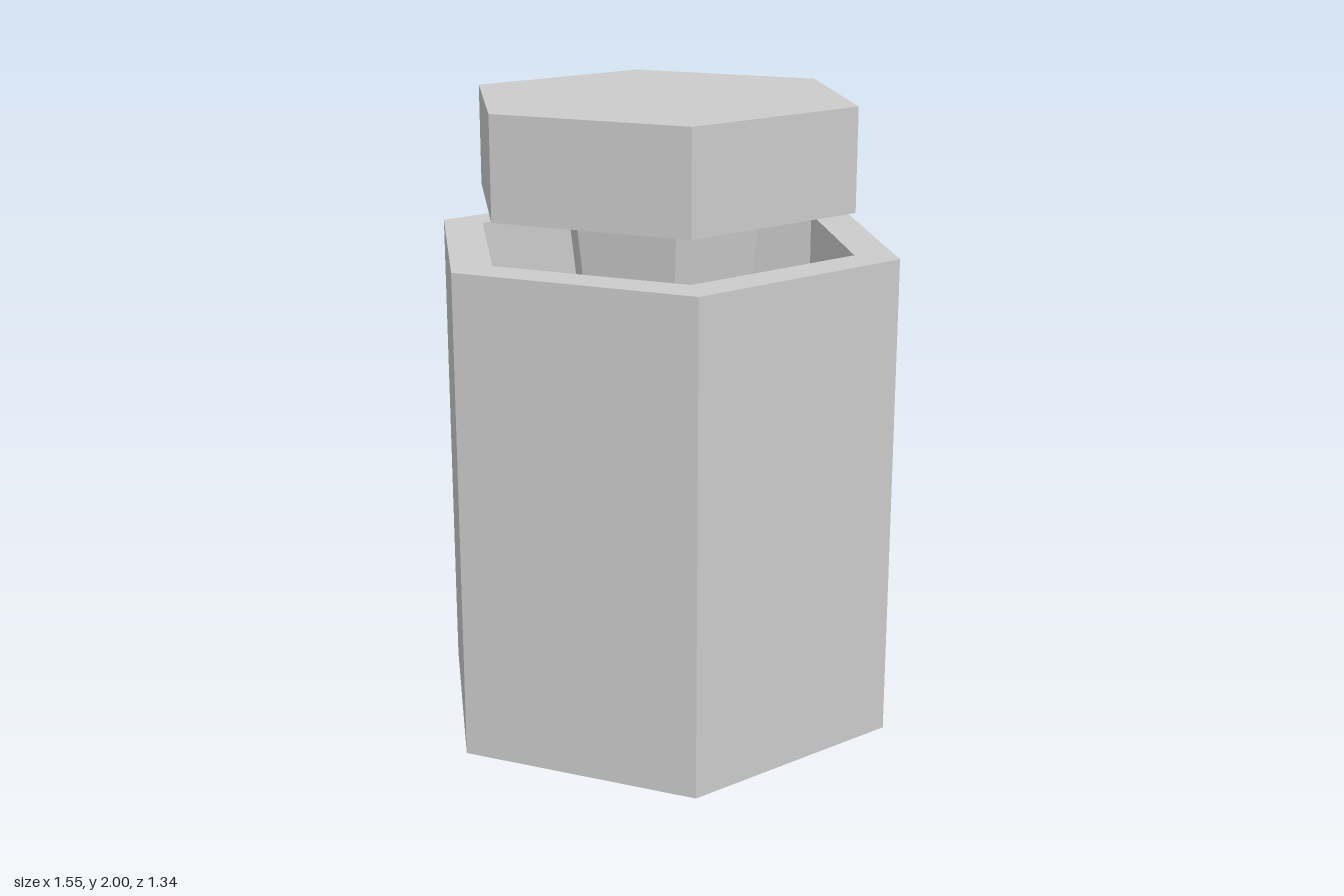
import * as THREE from 'three';

const material = new THREE.MeshStandardMaterial({ color: 0xcccccc, flatShading: true });

// Six corners with one on the +x axis
function hexPoints(radius) {
  return Array.from({ length: 6 }, (_, i) => {
    const a = (i * Math.PI) / 3;
    return new THREE.Vector2(radius * Math.cos(a), radius * Math.sin(a));
  });
}

// Solid hexagonal prism or frustum between two heights
function hexSolid(name, topRadius, bottomRadius, y0, y1) {
  const geometry = new THREE.CylinderGeometry(topRadius, bottomRadius, y1 - y0, 6);
  geometry.rotateY(Math.PI / 6);
  geometry.translate(0, (y0 + y1) / 2, 0);
  const mesh = new THREE.Mesh(geometry, material);
  mesh.name = name;
  return mesh;
}

export function createModel() {
  const group = new THREE.Group();
  group.name = 'hexContainerWithStopper';

  // Hexagonal sleeve, open at both ends
  const section = new THREE.Shape(hexPoints(0.775));
  section.holes.push(new THREE.Path(hexPoints(0.632).reverse()));
  const sleeve = new THREE.ExtrudeGeometry(section, { depth: 1.55, bevelEnabled: false });
  sleeve.rotateX(-Math.PI / 2);
  const body = new THREE.Mesh(sleeve, material);
  body.name = 'body';
  group.add(body);

  // Tapered stem hanging inside the sleeve, and the cap above it
  group.add(hexSolid('stem', 0.33, 0.16, 0.256, 1.68));
  group.add(hexSolid('cap', 0.632, 0.632, 1.68, 2));

  return group;
}
